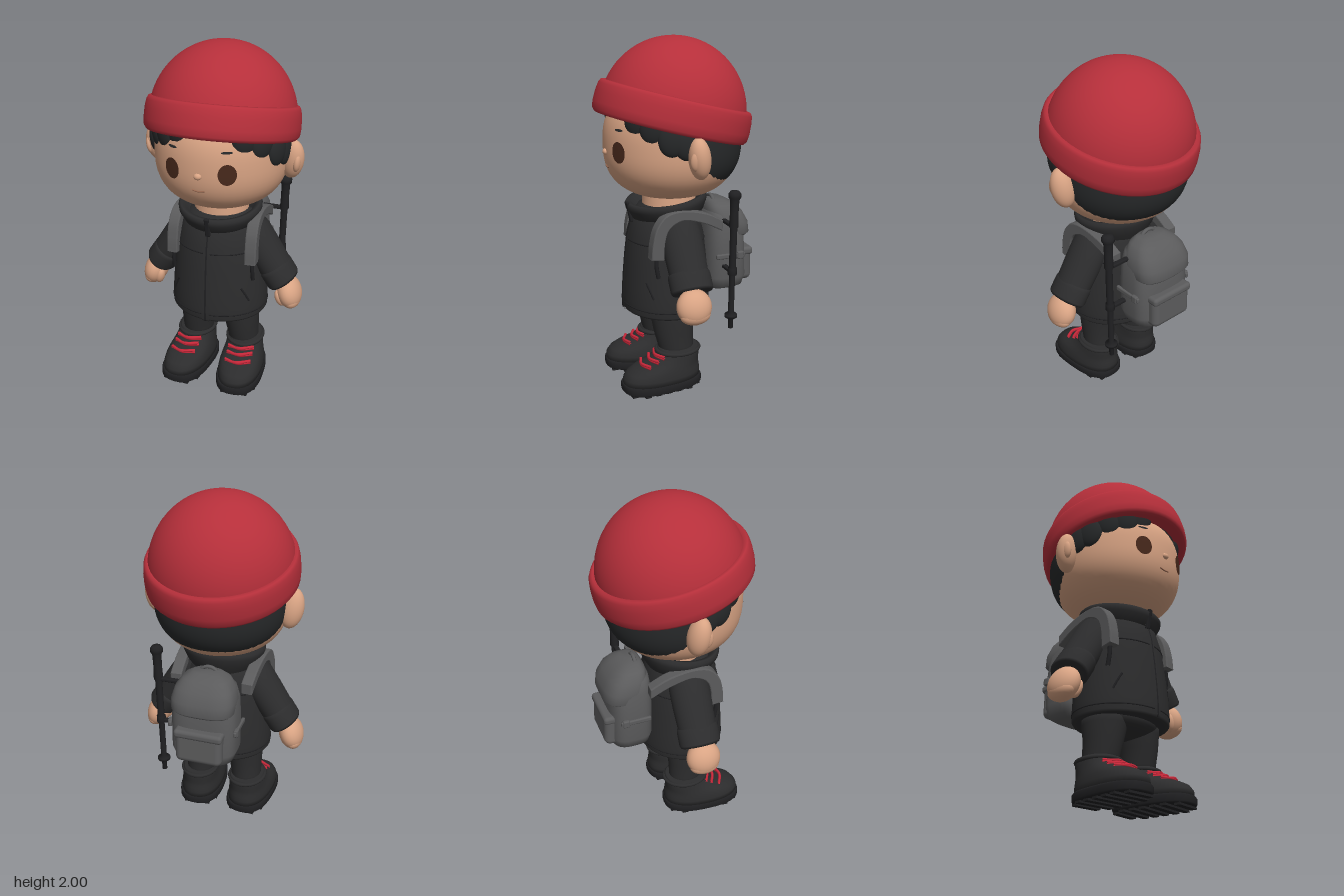
import * as THREE from 'three';
import { RoundedBoxGeometry } from 'three/addons/geometries/RoundedBoxGeometry.js';

const V = (x, y, z) => new THREE.Vector3(x, y, z);

// Stack of superellipse sections [y, centreX, centreZ, halfX, halfZ], closed at both ends
function loft(sections, power = 2, seg = 36) {
  const first = sections[0], last = sections[sections.length - 1];
  const rows = [[...first.slice(0, 3), 0, 0], ...sections, [...last.slice(0, 3), 0, 0]];
  const pos = [], index = [];
  const bend = (v) => Math.sign(v) * Math.abs(v) ** (2 / power);
  rows.forEach(([y, cx, cz, hx, hz], j) => {
    for (let i = 0; i < seg; i++) {
      const t = (i / seg) * Math.PI * 2;
      pos.push(cx + hx * bend(Math.sin(t)), y, cz + hz * bend(Math.cos(t)));
      if (j === rows.length - 1) continue;
      const a = j * seg + i, b = j * seg + ((i + 1) % seg);
      index.push(a, b, b + seg, a, b + seg, a + seg);
    }
  });
  const g = new THREE.BufferGeometry();
  g.setAttribute('position', new THREE.Float32BufferAttribute(pos, 3));
  g.setIndex(index);
  g.computeVertexNormals();
  return g;
}

const lathe = (pts, seg = 48, start = 0, len = Math.PI * 2) =>
  new THREE.LatheGeometry(pts.map(([r, y]) => new THREE.Vector2(r, y)), seg, start, len);
const tube = (pts, r) => new THREE.TubeGeometry(new THREE.CatmullRomCurve3(pts), 16, r, 8);

// Head: radius at a height, and depth of the face at a point
const headR = (y) => 0.385 * Math.max(0, 1 - Math.abs((y - 1.42) / 0.31) ** 2.6) ** (1 / 2.6);
const faceZ = (x, y) => 0.02 + 0.99 * Math.sqrt(Math.max(0, headR(y) ** 2 - (x / 0.97) ** 2));
const headProfile = Array.from({ length: 33 }, (_, i) => {
  const y = 1.42 - 0.31 * Math.cos((i / 32) * Math.PI);
  return [headR(y), y];
});
function facePlate(rx, ry, cx, cy) {
  const g = new THREE.CircleGeometry(1, 32).scale(rx, ry, 1).translate(cx, cy, 0);
  const p = g.attributes.position;
  for (let i = 0; i < p.count; i++) p.setZ(i, faceZ(p.getX(i), p.getY(i)) + 0.006);
  g.computeVertexNormals();
  return g;
}

export function createModel() {
  const root = new THREE.Group();
  const mat = (name, color, side = THREE.FrontSide) => {
    const m = new THREE.MeshStandardMaterial({ color, side });
    m.name = name;
    return m;
  };
  const red = mat('hatRed', 0xb52f3a), skin = mat('skin', 0xd9a484), hair = mat('hairBlack', 0x27292a);
  const cloth = mat('clothBlack', 0x2c2c2d), trim = mat('trimBlack', 0x202022, THREE.DoubleSide);
  const grey = mat('packGrey', 0x5b5b5c), brown = mat('eyeBrown', 0x48291c), lace = mat('laceRed', 0xc9283a);
  const lip = mat('lipBrown', 0x9a6a52);

  const add = (name, geo, m, p = [0, 0, 0], r = [0, 0, 0], s = [1, 1, 1], parent = root) => {
    const mesh = new THREE.Mesh(geo, m);
    mesh.name = name;
    mesh.position.set(...p);
    mesh.rotation.set(...r);
    mesh.scale.set(...s);
    parent.add(mesh);
    return mesh;
  };
  const ball = new THREE.SphereGeometry(1, 28, 20);

  // Head and hair
  add('head', lathe(headProfile), skin, [0, 0, 0.02], [0, 0, 0], [0.97, 1, 0.99]);
  add('backHair', lathe(headProfile), hair, [0, 0.025, -0.02], [0, 0, 0], [0.975, 1, 0.935]);
  add('neck', new THREE.CylinderGeometry(0.15, 0.16, 0.16, 32), skin, [0, 1.08, 0.03]);
  const locks = [[0, 1.56], [0.22, 1.54], [-0.2, 1.55], [0.46, 1.53], [-0.44, 1.51], [0.7, 1.49], [-0.7, 1.48],
    [0.98, 1.46], [-0.98, 1.46], [1.25, 1.4], [-1.25, 1.4], [1.45, 1.38], [-1.45, 1.38]];
  for (const [phi, low] of locks) {
    const y = low + 0.09, r = headR(y) - 0.008;
    add('fringeLock', ball, hair, [0.97 * r * Math.sin(phi), y, 0.02 + r * Math.cos(phi)],
      [0, phi, 0.2 * Math.sin(phi * 5)], [0.075, 0.095, 0.036]);
  }

  // Face
  add('nose', ball, skin, [0, 1.385, 0.398], [0, 0, 0], [0.022, 0.018, 0.018]);
  add('mouth', tube([-0.035, 0, 0.035].map((x) => V(x, 1.298 + x * x * 4, faceZ(x, 1.3) + 0.001)), 0.004), lip);
  for (const s of [1, -1]) {
    add('eye', facePlate(0.045, 0.058, s * 0.152, 1.403), brown);
    add('eyebrow', facePlate(0.028, 0.007, s * 0.148, 1.522), hair);
    add('ear', ball, skin, [s * 0.395, 1.39, 0.005], [0.1, s * -0.35, s * -0.12], [0.068, 0.115, 0.06]);
    add('earInner', ball, skin, [s * 0.43, 1.385, 0.035], [0, 0, s * -0.12], [0.022, 0.055, 0.035]);
  }

  // Beanie, tilted back
  const hat = new THREE.Group();
  hat.name = 'beanie';
  hat.position.set(0, 1.585, 0.005);
  hat.rotation.x = -0.245;
  root.add(hat);
  add('hatDome', new THREE.SphereGeometry(1, 48, 24, 0, Math.PI * 2, 0, Math.PI * 0.52), red, [0, 0, 0], [0, 0, 0],
    [0.405, 0.416, 0.412], hat);
  add('hatBand', lathe([[0.35, -0.07], [0.41, -0.09], [0.432, -0.088], [0.446, -0.07], [0.45, -0.03], [0.447, 0.03],
    [0.44, 0.07], [0.43, 0.088], [0.415, 0.092], [0.395, 0.08]], 56), red, [0, 0, 0], [0, 0, 0], [0.95, 1, 1], hat);

  // Jacket
  const coat = [[0, 0.46], [0.25, 0.45], [0.275, 0.447], [0.284, 0.46], [0.284, 0.52], [0.28, 0.6], [0.266, 0.75],
    [0.246, 0.9], [0.215, 1.0], [0.17, 1.06], [0.1, 1.09]];
  add('jacketBody', lathe(coat), cloth, [0, 0, 0.055], [0, 0, 0], [1, 1, 0.89]);
  const grown = coat.slice(2, 9).map(([r, y]) => [r + 0.009, y]);
  add('zipFlap', lathe(grown, 4, -0.075, 0.15), cloth, [0, 0, 0.055], [0, 0, 0], [1, 1, 0.89]);
  add('zip', lathe(grown.map(([r, y]) => [r + 0.004, y]), 2, -0.018, 0.036), trim, [0, 0, 0.055], [0, 0, 0], [1, 1, 0.89]);
  for (const [y, r] of [[0.49, 0.284], [0.87, 0.25]])
    add('jacketSeam', new THREE.TorusGeometry(r, 0.004, 6, 48), trim, [0, y, 0.055], [Math.PI / 2, 0, 0], [1, 0.89, 1]);
  add('collar', lathe([[0.17, -0.09], [0.215, -0.03], [0.238, 0.02], [0.24, 0.045], [0.228, 0.06], [0.205, 0.055],
    [0.19, 0.02], [0.15, -0.02]]), cloth, [0, 1.05, 0.045], [0.13, 0, 0], [1, 1, 0.98]);
  add('collarZip', new RoundedBoxGeometry(0.03, 0.12, 0.02, 2, 0.008), trim, [0, 1.03, 0.268], [0.2, 0, 0]);

  // Arms
  for (const s of [1, -1]) {
    const arm = new THREE.Group();
    arm.name = 'arm';
    arm.position.set(s * 0.175, 0.965, 0.035);
    arm.quaternion.setFromUnitVectors(V(0, 1, 0), V(s * 0.55, -0.83, 0).normalize());
    root.add(arm);
    add('sleeve', lathe([[0, -0.1], [0.06, -0.085], [0.095, -0.04], [0.108, 0.04], [0.107, 0.15], [0.102, 0.28],
      [0.098, 0.34]], 32), cloth, [0, 0, 0], [0, 0, 0], [0.92, 1, 1.08], arm);
    add('cuff', lathe([[0.09, 0.265], [0.108, 0.27], [0.112, 0.29], [0.112, 0.365], [0.104, 0.38], [0.08, 0.375],
      [0, 0.36]], 32), cloth, [0, 0, 0], [0, 0, 0], [0.85, 1, 1.08], arm);
    add('hand', ball, skin, [s * 0.42, 0.58, 0.04], [0, 0, s * 0.3], [0.07, 0.1, 0.1]);
    add('fingers', ball, skin, [s * 0.438, 0.54, 0.04], [0, 0, s * 0.1], [0.052, 0.055, 0.088]);
    add('thumb', ball, skin, [s * 0.378, 0.555, 0.09], [0.2, 0, s * 0.3], [0.028, 0.055, 0.032]);
    add('pocketSlit', tube([V(s * 0.225, 0.57, 0.202), V(s * 0.207, 0.615, 0.217), V(s * 0.185, 0.66, 0.232)], 0.007), trim);
  }

  // Trousers
  add('hips', ball, cloth, [0, 0.46, 0.055], [0, 0, 0], [0.235, 0.09, 0.17]);
  for (const s of [1, -1]) {
    add('trouserLeg', loft([[0.18, s * 0.145, 0.035, 0.09, 0.1], [0.25, s * 0.145, 0.045, 0.092, 0.105],
      [0.34, s * 0.138, 0.055, 0.1, 0.118], [0.42, s * 0.13, 0.055, 0.113, 0.13], [0.48, s * 0.125, 0.055, 0.115, 0.14]]), cloth);

    // Boots
    const boot = new THREE.Group();
    boot.name = 'boot';
    boot.position.x = s * 0.152;
    boot.rotation.y = s * 0.09;
    root.add(boot);
    add('sole', loft([[0.012, 0, 0.14, 0.13, 0.235], [0.02, 0, 0.14, 0.137, 0.242], [0.05, 0, 0.14, 0.137, 0.242],
      [0.06, 0, 0.14, 0.13, 0.235]], 2.6), trim, [0, 0, 0], [0, 0, 0], [1, 1, 1], boot);
    for (let i = 0; i < 7; i++)
      add('tread', new THREE.BoxGeometry(i % 6 ? 0.23 : 0.16, 0.02, 0.036), trim, [0, 0.01, -0.055 + i * 0.065],
        [0, 0, 0], [1, 1, 1], boot);
    add('bootUpper', loft([[0.05, 0, 0.14, 0.13, 0.235], [0.09, 0, 0.138, 0.13, 0.234], [0.12, 0, 0.128, 0.125, 0.22],
      [0.14, 0, 0.11, 0.12, 0.197], [0.16, 0, 0.08, 0.114, 0.167], [0.185, 0, 0.052, 0.109, 0.141],
      [0.215, 0, 0.036, 0.106, 0.127], [0.235, 0, 0.033, 0.102, 0.123], [0.24, 0, 0.033, 0.095, 0.115]], 2.3), cloth,
      [0, 0, 0], [0, 0, 0], [1, 1, 1], boot);
    add('bootCuff', new THREE.TorusGeometry(0.105, 0.012, 8, 36), cloth, [0, 0.222, 0.035], [Math.PI / 2, 0, 0],
      [1, 1.2, 1], boot);
    for (const [y, z] of [[0.2, 0.17], [0.18, 0.205], [0.158, 0.255]])
      for (const d of [0, 0.012])
        add('lace', tube([V(-0.078, y - d, z - 0.018), V(0, y + d / 2, z + 0.01), V(0.078, y + d, z - 0.018)], 0.0085), lace,
          [0, 0, 0], [0, 0, 0], [1, 1, 1], boot);
  }

  // Backpack
  add('packBody', loft([[0.54, 0, -0.28, 0.13, 0.09], [0.56, 0, -0.285, 0.165, 0.118], [0.62, 0, -0.285, 0.188, 0.13],
    [0.8, 0, -0.28, 0.19, 0.127], [0.93, 0, -0.275, 0.182, 0.12], [1.0, 0, -0.265, 0.16, 0.1],
    [1.03, 0, -0.26, 0.12, 0.07]], 3.2), grey);
  add('packLid', loft([[0.865, 0, -0.315, 0.165, 0.112], [0.88, 0, -0.315, 0.18, 0.124], [0.94, 0, -0.305, 0.182, 0.125],
    [1.0, 0, -0.285, 0.165, 0.112], [1.045, 0, -0.265, 0.13, 0.085], [1.07, 0, -0.25, 0.08, 0.05]], 3), grey);
  add('packPocket', new RoundedBoxGeometry(0.27, 0.19, 0.1, 4, 0.035), grey, [0, 0.67, -0.398], [0.04, 0, 0]);
  add('pocketFlap', new RoundedBoxGeometry(0.28, 0.05, 0.1, 3, 0.02), grey, [0, 0.755, -0.402]);
  add('packHandle', new THREE.TorusGeometry(0.045, 0.012, 8, 24, Math.PI), grey, [0, 1.05, -0.23], [0, 0, 0], [1, 0.8, 1]);
  const strapSide = new THREE.Shape();
  strapSide.moveTo(-0.2, 0.99);
  strapSide.splineThru([[-0.1, 1.04], [0.03, 1.068], [0.13, 1.055], [0.19, 0.99], [0.215, 0.9], [0.222, 0.82]]
    .map((p) => new THREE.Vector2(...p)));
  strapSide.lineTo(0.16, 0.81);
  strapSide.splineThru([[0.155, 0.9], [0.135, 0.97], [0.09, 1.01], [0.02, 1.025], [-0.1, 0.99], [-0.2, 0.94]]
    .map((p) => new THREE.Vector2(...p)));
  const strapGeo = new THREE.ExtrudeGeometry(strapSide, { depth: 0.05, bevelSize: 0.006, bevelThickness: 0.008,
    bevelSegments: 2, curveSegments: 24 }).translate(0, 0, -0.025).rotateY(-Math.PI / 2);
  for (const s of [1, -1]) {
    add('shoulderStrap', strapGeo, grey, [s * 0.22, 0, 0], [0, s * 0.06, 0]);
    add('strapTail', tube([V(s * 0.232, 0.83, 0.19), V(s * 0.238, 0.76, 0.19), V(s * 0.24, 0.7, 0.18)], 0.012), trim);
    add('sideStrap', new RoundedBoxGeometry(0.02, 0.03, 0.18, 2, 0.008), grey, [s * 0.19, 0.76, -0.28]);
    add('sideBuckle', new RoundedBoxGeometry(0.025, 0.045, 0.04, 2, 0.008), grey, [s * 0.193, 0.76, -0.34]);
  }

  // Trekking pole on the pack's left side
  add('trekkingPole', lathe([[0, 0.35], [0.014, 0.355], [0.015, 0.41], [0.037, 0.425], [0.037, 0.44], [0.017, 0.455],
    [0.017, 0.68], [0.026, 0.685], [0.026, 0.725], [0.02, 0.73], [0.02, 0.96], [0.027, 0.97], [0.024, 1.05], [0.026, 1.125],
    [0.036, 1.14], [0.036, 1.16], [0.025, 1.175], [0, 1.178]], 16), trim, [0.273, 0, -0.245], [0, 0, -0.025]);
  for (const y of [0.7, 0.97])
    add('poleLoop', new RoundedBoxGeometry(0.13, 0.022, 0.03, 2, 0.008), trim, [0.225, y, -0.245]);
  return root;
}
